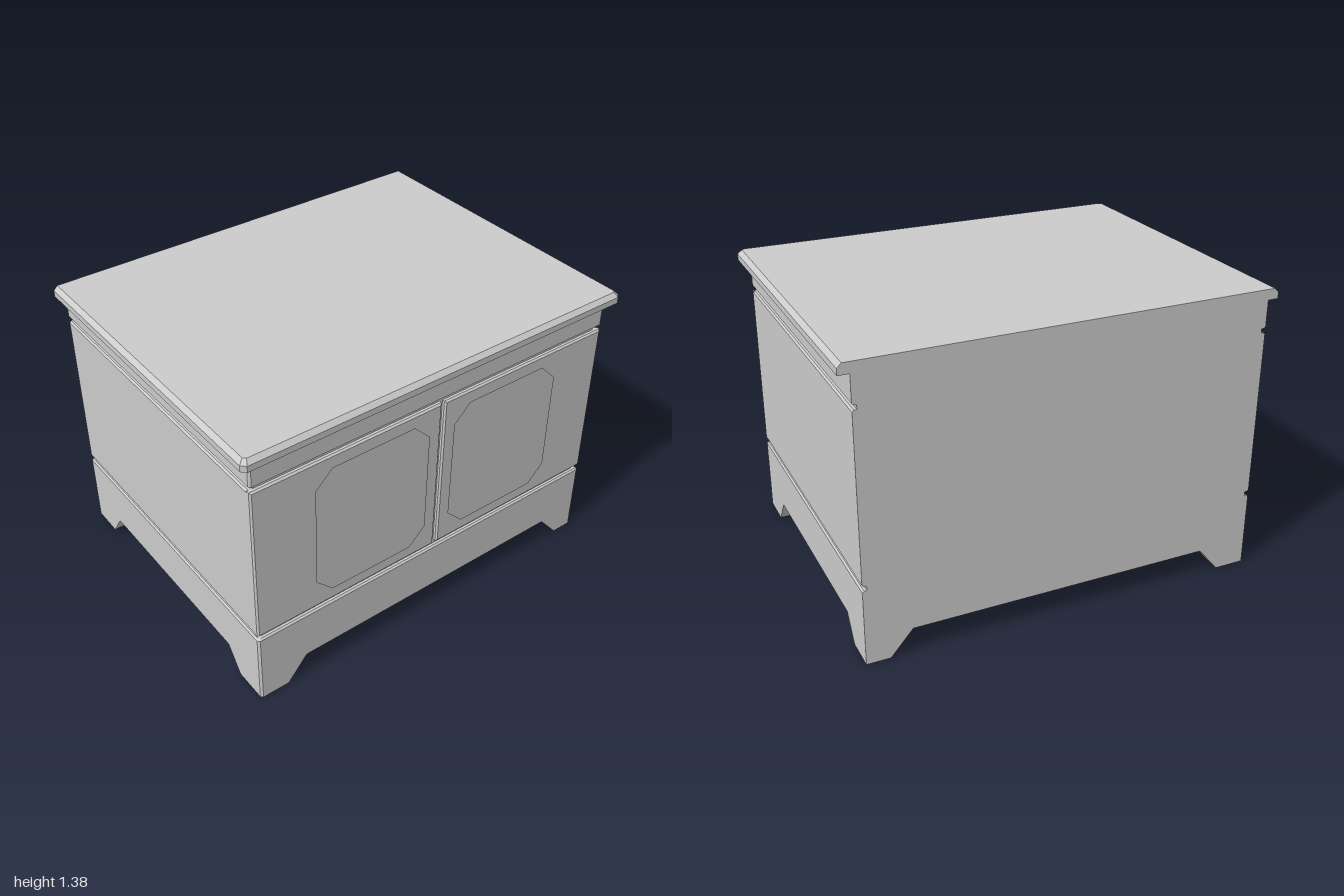
import * as THREE from 'three';

const BACK = -0.775, FRONT = 0.725, SIDE = 0.95, BEVEL = 0.008;
const material = new THREE.MeshStandardMaterial({ color: 0xcccccc, flatShading: true });

function addMesh(parent, name, geometry) {
  const mesh = new THREE.Mesh(geometry, material);
  mesh.name = name;
  parent.add(mesh);
  return mesh;
}

// Closed solid through stacked plan outlines: rings = [[y, [[x, z], ...]], ...], bottom to top
function loft(rings) {
  const layers = rings.map(([y, pts]) => {
    const flat = pts.map(([x, z]) => new THREE.Vector2(x, -z));
    if (THREE.ShapeUtils.area(flat) < 0) flat.reverse();
    return { y, flat };
  });
  const out = [];
  const put = (layer, i) => out.push(layer.flat[i].x, layer.y, -layer.flat[i].y);
  const n = layers[0].flat.length;
  for (let k = 0; k < layers.length - 1; k++) {
    const lo = layers[k], hi = layers[k + 1];
    for (let i = 0; i < n; i++) {
      const j = (i + 1) % n;
      put(lo, i); put(lo, j); put(hi, j);
      put(lo, i); put(hi, j); put(hi, i);
    }
  }
  const bottom = layers[0], top = layers[layers.length - 1];
  for (const [a, b, c] of THREE.ShapeUtils.triangulateShape(bottom.flat, [])) {
    put(bottom, a); put(bottom, c); put(bottom, b);
  }
  for (const [a, b, c] of THREE.ShapeUtils.triangulateShape(top.flat, [])) {
    put(top, a); put(top, b); put(top, c);
  }
  const geometry = new THREE.BufferGeometry();
  geometry.setAttribute('position', new THREE.Float32BufferAttribute(out, 3));
  geometry.computeVertexNormals();
  return geometry;
}

// Plan outline: flat square back, cut front corners
const plan = (front, side, cut) => [
  [BACK, side], [front - cut, side], [front, side - cut],
  [front, cut - side], [front - cut, -side], [BACK, -side],
];
const bodyRing = ([y, inset]) => [y, plan(FRONT - inset, SIDE - inset, 0.01)];

// L-shaped bracket foot, flaring towards the top
function footGeometry(sx, sz) {
  const t = 0.06, cut = 0.01;
  const cx = sx > 0 ? FRONT : BACK, cz = sz * SIDE;
  const xEnds = sx > 0 ? [0.555, 0.47] : [-0.62, -0.54];
  const zEnds = sz > 0 ? [0.805, 0.705] : [-0.84, -0.735];
  const corner = sx > 0 ? [[cx - cut, cz], [cx, cz - sz * cut]] : [[cx, cz]];
  return loft([0, 1].map((k) => [k * 0.12, [
    [xEnds[k], cz], ...corner, [cx, zEnds[k]],
    [cx - sx * t, zEnds[k]], [cx - sx * t, cz - sz * t], [xEnds[k], cz - sz * t],
  ]]));
}

// Door with an octagonal opening; z0 < z1 are its edges, p0 < p1 the opening
function doorGeometry(z0, z1, p0, p1) {
  const y0 = 0.385, y1 = 1.18, b = 0.43 + BEVEL, t = 1.13 - BEVEL, c = 0.087;
  const points = (list) => list.map(([z, y]) => new THREE.Vector2(-z, y));
  const shape = new THREE.Shape(points([[z0, y0], [z1, y0], [z1, y1], [z0, y1]]));
  shape.holes.push(new THREE.Path(points([
    [p0 + c, b], [p1 - c, b], [p1, b + c], [p1, t - c],
    [p1 - c, t], [p0 + c, t], [p0, t - c], [p0, b + c],
  ])));
  const depth = 0.014;
  const geometry = new THREE.ExtrudeGeometry(shape, {
    depth, bevelEnabled: true, bevelSegments: 1,
    bevelThickness: BEVEL, bevelSize: BEVEL, bevelOffset: -BEVEL,
  });
  geometry.rotateY(Math.PI / 2);
  geometry.translate(FRONT - BEVEL - depth, 0, 0);
  return geometry;
}

export function createModel() {
  const group = new THREE.Group();
  group.name = 'cabinet';

  // Plinth with the lower shadow groove
  addMesh(group, 'plinth', loft([
    [0.12, 0], [0.365 - BEVEL, 0], [0.365, BEVEL], [0.365, 0.02], [0.385, 0.02],
  ].map(bodyRing)));

  // Four bracket feet
  for (const sx of [-1, 1]) {
    for (const sz of [-1, 1]) {
      addMesh(group, `${sx > 0 ? 'front' : 'back'}Foot${sz > 0 ? 'A' : 'B'}`, footGeometry(sx, sz));
    }
  }

  // Carcass behind the doors; its front forms the recessed panels
  addMesh(group, 'carcass', loft([
    [0.385, BEVEL], [0.385 + BEVEL, 0], [1.18 - BEVEL, 0], [1.18, BEVEL],
  ].map(([y, d]) => {
    const s = SIDE - d;
    return [y, [[BACK, s], [0.705, s], [0.705, -s], [BACK, -s]]];
  })));

  // Pair of doors
  addMesh(group, 'doorA', doorGeometry(-0.007, SIDE, 0.04 + BEVEL, 0.66 - BEVEL));
  addMesh(group, 'doorB', doorGeometry(-SIDE, -0.023, -0.69 + BEVEL, -0.07 - BEVEL));

  // Frieze with the upper shadow groove
  addMesh(group, 'frieze', loft([
    [1.18, 0.02], [1.2, 0.02], [1.2, BEVEL], [1.2 + BEVEL, 0], [1.33, 0],
  ].map(bodyRing)));

  // Overhanging top with a bevelled edge
  addMesh(group, 'top', loft([
    [1.33, 0], [1.36, 0], [1.38, 0.02],
  ].map(([y, d]) => [y, plan(0.77 - d, 1 - d, 0.02 - d * 0.4)])));

  return group;
}
